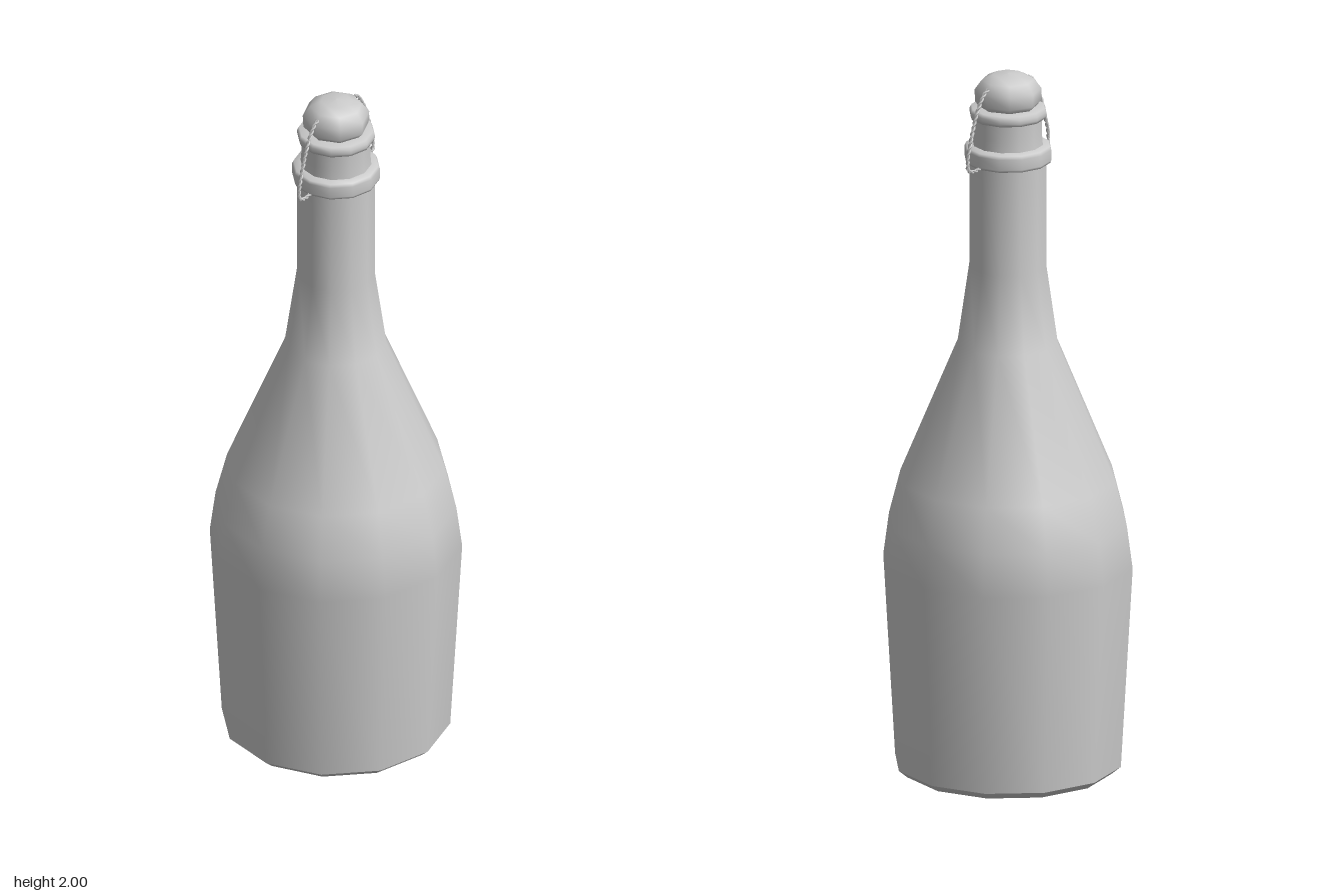
import * as THREE from 'three';

const material = new THREE.MeshStandardMaterial({ color: 0xcccccc, side: THREE.DoubleSide });

// Revolve a bottom-to-top list of [radius, height] pairs.
function turned(name, sides, profile) {
  const points = profile.map(([r, y]) => new THREE.Vector2(r, y));
  const mesh = new THREE.Mesh(new THREE.LatheGeometry(points, sides), material);
  mesh.name = name;
  return mesh;
}

// One strand of a twisted wire, wound around a guide curve lying in the xy plane.
function strand(guide, phase) {
  const turns = 9, steps = 72, offset = 0.003;
  const points = [];
  for (let i = 0; i <= steps; i++) {
    const t = i / steps;
    const a = phase + t * turns * Math.PI * 2;
    const p = guide.getPointAt(t);
    const d = guide.getTangentAt(t);
    const across = Math.cos(a) * offset;
    points.push(new THREE.Vector3(p.x - d.y * across, p.y + d.x * across, Math.sin(a) * offset));
  }
  const mesh = new THREE.Mesh(
    new THREE.TubeGeometry(new THREE.CatmullRomCurve3(points), 100, 0.003, 5), material);
  mesh.name = 'wireStrand';
  return mesh;
}

export function createModel() {
  const bottle = new THREE.Group();
  bottle.name = 'bottle';

  // Glass: base, body with shoulder and neck
  bottle.add(turned('base', 12, [[0, 0.005], [0.26, 0.005]]));
  bottle.add(turned('baseBevel', 12, [[0.26, 0.005], [0.29, 0.009], [0.315, 0.03]]));
  bottle.add(turned('body', 12, [
    [0.315, 0.03], [0.348, 0.6], [0.332, 0.72], [0.3, 0.845],
    [0.14, 1.23], [0.108, 1.45], [0.107, 1.75]
  ]));

  // Collar, mouth and lip
  bottle.add(turned('collar', 12, [
    [0.105, 1.747], [0.118, 1.75], [0.121, 1.757], [0.121, 1.787], [0.117, 1.796], [0.098, 1.8]
  ]));
  bottle.add(turned('mouth', 12, [[0.098, 1.795], [0.095, 1.83], [0.095, 1.878]]));
  bottle.add(turned('lip', 12, [
    [0.094, 1.873], [0.104, 1.876], [0.107, 1.884], [0.107, 1.895], [0.102, 1.905], [0.07, 1.907]
  ]));

  // Rounded stopper
  bottle.add(turned('stopper', 8, [
    [0.07, 1.9], [0.079, 1.907], [0.09, 1.92], [0.092, 1.955],
    [0.072, 1.982], [0.042, 1.997], [0, 2]
  ]));

  // Twisted wire loop on each side, from stopper to collar
  for (const side of [1, -1]) {
    const guide = new THREE.CatmullRomCurve3([
      [0.082, 1.972], [0.1, 1.96], [0.13, 1.91], [0.152, 1.845],
      [0.166, 1.79], [0.163, 1.758], [0.14, 1.75], [0.113, 1.754]
    ].map(([x, y]) => new THREE.Vector3(side * x, y, 0)));
    const wire = new THREE.Group();
    wire.name = side > 0 ? 'leftWire' : 'rightWire';
    wire.add(strand(guide, 0), strand(guide, Math.PI));
    bottle.add(wire);
  }

  // Stand the bottle on the ground
  bottle.children.forEach((part) => {
    if (part.name === 'base') part.position.y = -0.005;
    if (part.name === 'baseBevel') {
      const pos = part.geometry.attributes.position;
      for (let i = 0; i < pos.count; i++) if (pos.getY(i) < 0.006) pos.setY(i, 0);
    }
  });
  return bottle;
}
